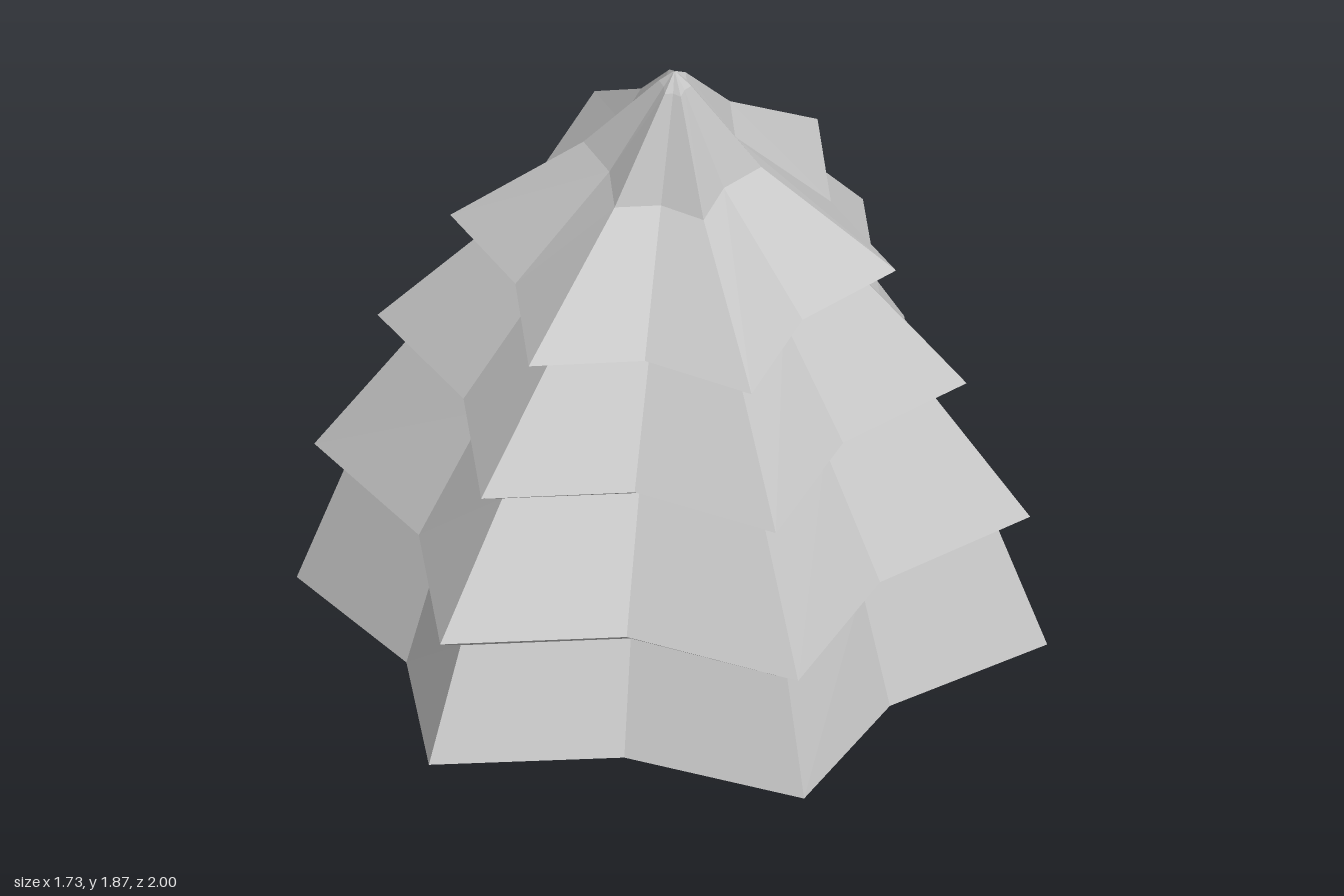
import * as THREE from 'three';

const POINTS = 6;            // star points per ring
const VALLEY = 0.744;        // valley radius relative to the points

// Tilted star ring: centre, radius, and slope of its plane along x and z
function starRing([cx, cy, cz, radius, slopeX, slopeZ]) {
  const ring = [];
  for (let k = 0; k < POINTS * 2; k++) {
    const a = (k * Math.PI) / POINTS;
    const r = k % 2 ? radius * VALLEY : radius;
    const dx = r * Math.sin(a), dz = r * Math.cos(a);
    ring.push([cx + dx, cy + slopeX * dx + slopeZ * dz, cz + dz]);
  }
  return ring;
}

// Skin a list of rings from bottom to top
function loft(name, specs, material) {
  const rings = specs.map(starRing);
  const n = POINTS * 2, index = [];
  for (let i = 0; i < rings.length - 1; i++) {
    for (let k = 0; k < n; k++) {
      const a = i * n + k, b = i * n + ((k + 1) % n);
      index.push(a, b, b + n, a, b + n, a + n);
    }
  }
  const indexed = new THREE.BufferGeometry();
  indexed.setAttribute('position', new THREE.Float32BufferAttribute(rings.flat(2), 3));
  indexed.setIndex(index);
  const geometry = indexed.toNonIndexed();
  geometry.computeVertexNormals();
  const mesh = new THREE.Mesh(geometry, material);
  mesh.name = name;
  return mesh;
}

export function createModel() {
  const group = new THREE.Group();
  group.name = 'leaningTree';
  const material = new THREE.MeshStandardMaterial({
    color: 0xcccccc, flatShading: true, side: THREE.DoubleSide,
  });

  // Each ring leans further forward and to one side as the tree rises
  const ground = [0, 0, 0, 1, 0, 0];
  const necks = [
    [-0.003, 0.355, 0.01, 0.87, 0.021, -0.058],
    [-0.018, 0.787, 0.053, 0.70, 0.042, -0.133],
    [-0.04, 1.178, 0.12, 0.505, 0.07, -0.2],
  ];
  const lips = [
    [-0.005, 0.413, 0.015, 0.954, 0.024, -0.07],
    [-0.022, 0.848, 0.06, 0.785, 0.048, -0.144],
    [-0.045, 1.222, 0.13, 0.594, 0.073, -0.208],
  ];
  // Slender top, rounded off just under the apex
  const crown = [
    [-0.075, 1.545, 0.205, 0.237, 0.09, -0.277],
    [-0.1, 1.822, 0.294, 0.043, 0.12, -0.4],
    [-0.105, 1.865, 0.303, 0.002, 0, 0],
  ];

  group.add(loft('baseSkirt', [ground, necks[0]], material));
  lips.forEach((lip, i) => {
    const above = i < 2 ? [necks[i + 1]] : crown;
    group.add(loft(`tierUnderside${i + 1}`, [necks[i], lip], material));
    group.add(loft(i < 2 ? `branchTier${i + 1}` : 'treeTop', [lip, ...above], material));
  });
  return group;
}
